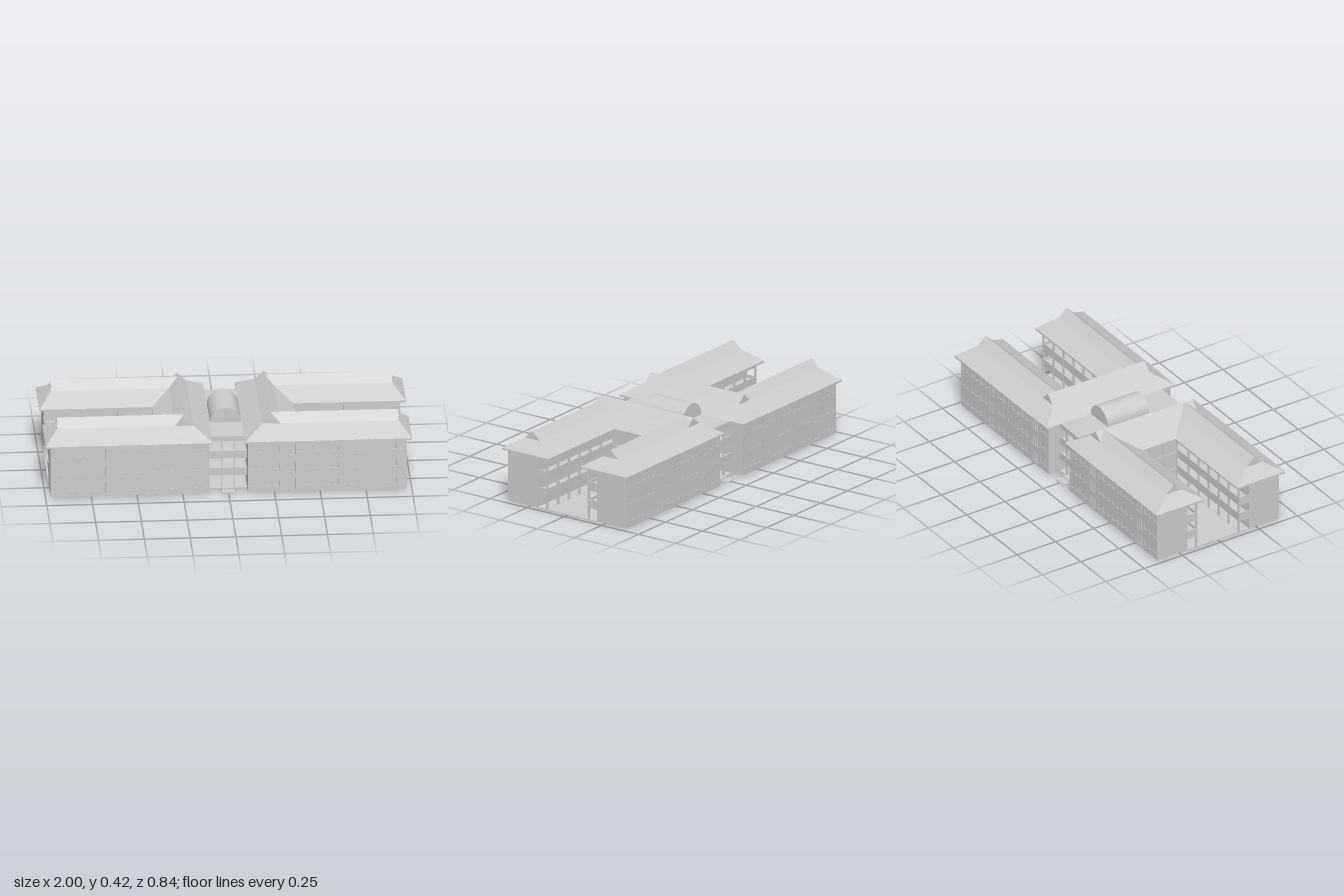
import * as THREE from 'three';

const grey = new THREE.MeshStandardMaterial({ color: 0xcccccc, flatShading: true, side: THREE.DoubleSide });

function addMesh(parent, name, geometry) {
  const mesh = new THREE.Mesh(geometry, grey);
  mesh.name = name;
  parent.add(mesh);
  return mesh;
}

// Box given by its min and max on each axis
function block(parent, name, [x0, x1], [y0, y1], [z0, z1]) {
  const g = new THREE.BoxGeometry(Math.abs(x1 - x0), y1 - y0, Math.abs(z1 - z0));
  g.translate((x0 + x1) / 2, (y0 + y1) / 2, (z0 + z1) / 2);
  return addMesh(parent, name, g);
}

function rectPath(path, x0, x1, y0, y1) {
  path.moveTo(x0, y0);
  path.lineTo(x1, y0);
  path.lineTo(x1, y1);
  path.lineTo(x0, y1);
  path.closePath();
  return path;
}

// Roof lofted from four rectangles: eave bottom, eave top, gable foot, ridge
function hipGableRoof(x0s, x1s, halfWidths) {
  const ys = [0.3, 0.31, 0.374, 0.42];
  const rings = ys.map((y, i) => {
    const w = halfWidths[i];
    return [[x0s[i], y, w], [x1s[i], y, w], [x1s[i], y, -w], [x0s[i], y, -w]];
  });
  const pos = [];
  const quad = (a, b, c, d) => pos.push(...a, ...b, ...c, ...a, ...c, ...d);
  for (let i = 0; i < 3; i++) {
    for (let k = 0; k < 4; k++) {
      const n = (k + 1) % 4;
      quad(rings[i][k], rings[i][n], rings[i + 1][n], rings[i + 1][k]);
    }
  }
  quad(rings[0][3], rings[0][2], rings[0][1], rings[0][0]);
  const g = new THREE.BufferGeometry();
  g.setAttribute('position', new THREE.Float32BufferAttribute(pos, 3));
  g.computeVertexNormals();
  return g;
}

const FLOORS = [0.005, 0.105, 0.205];
const IN = 0.105, OUT = 0.972; // wing ends along x

// Outer wall sheet with a row of windows per floor and tall stair windows
function facadeGeometry(s, tallCentres) {
  const [a, b] = s > 0 ? [IN, OUT] : [-OUT, -IN];
  const shape = rectPath(new THREE.Shape(), a, b, 0.005, 0.3);
  const count = 19, step = (b - a) / count;
  for (const y of FLOORS) {
    for (let i = 0; i < count; i++) {
      const x = a + step * (i + 0.5);
      if (tallCentres.some((t) => Math.abs(t - x) < 0.05)) continue;
      shape.holes.push(rectPath(new THREE.Path(), x - 0.014, x + 0.014, y + 0.035, y + 0.065));
    }
    for (const t of tallCentres) {
      for (const dx of [-0.02, 0, 0.02]) {
        shape.holes.push(rectPath(new THREE.Path(), t + dx - 0.006, t + dx + 0.006, y + 0.015, y + 0.078));
      }
    }
  }
  return new THREE.ExtrudeGeometry(shape, { depth: 0.004, bevelEnabled: false });
}

function buildWing(s, tallCentres) {
  const wing = new THREE.Group();
  wing.name = s > 0 ? 'leftWing' : 'rightWing';
  const X = (p, q) => [s * p, s * q];

  // Rooms: upper storeys above a hollow ground floor
  block(wing, 'upperRooms', X(IN, OUT), [0.085, 0.3], [0.2, 0.394]);
  block(wing, 'groundFrontWall', X(IN, OUT), [0.005, 0.085], [0.388, 0.394]);
  block(wing, 'groundGalleryWall', X(IN, OUT), [0.005, 0.085], [0.2, 0.206]);
  block(wing, 'groundInnerEndWall', X(IN, IN + 0.006), [0.005, 0.085], [0.206, 0.388]);
  block(wing, 'groundOuterEndWall', X(OUT - 0.006, OUT), [0.005, 0.085], [0.206, 0.388]);
  addMesh(wing, 'windowFacade', facadeGeometry(s, tallCentres)).position.z = 0.394;

  // Open gallery facing the courtyard
  block(wing, 'galleryFloor', X(IN, OUT), [0.002, 0.006], [0.135, 0.2]);
  block(wing, 'galleryCeiling', X(IN, OUT), [0.278, 0.3], [0.135, 0.2]);
  for (const y of [0.1, 0.2]) {
    block(wing, 'gallerySlab', X(IN, OUT), [y - 0.005, y + 0.005], [0.135, 0.2]);
    const band = [y - 0.028, y + 0.022];
    block(wing, 'galleryParapet', X(0.36, OUT), band, [0.135, 0.141]);
    block(wing, 'galleryEndParapet', X(OUT - 0.006, OUT), band, [0.135, 0.2]);
  }
  for (let i = 0; i < 6; i++) {
    const x = 0.47 + i * 0.099;
    block(wing, 'galleryColumn', X(x - 0.005, x + 0.005), [0.005, 0.3], [0.134, 0.144]);
  }
  for (const y of FLOORS) {
    for (let i = 0; i < 11; i++) {
      const x = 0.4 + i * 0.053;
      block(wing, 'galleryWindow', X(x - 0.016, x + 0.016), [y + 0.028, y + 0.07], [0.197, 0.2]);
    }
  }

  // Wing roof, running in under the cross roof
  const xs = [1, 1, 0.933, 0.933];
  const inner = [0.237, 0.237, 0.237, 0.237];
  const roof = addMesh(wing, 'wingRoof',
    hipGableRoof(s > 0 ? inner : xs.map((v) => -v), s > 0 ? xs : inner.map((v) => -v), [0.157, 0.157, 0.05, 0]));
  roof.position.z = 0.263;
  return wing;
}

// Front half of the building; the back half is the same turned half round
function buildHalf() {
  const half = new THREE.Group();
  half.name = 'buildingHalf';
  half.add(buildWing(1, [0.34, 0.8]), buildWing(-1, [-0.66, -0.23]));

  // Recessed entrance bay
  for (const y of [0.1, 0.2]) {
    block(half, 'entranceParapet', [-IN, IN], [y - 0.02, y + 0.023], [0.318, 0.326]);
  }
  block(half, 'entranceLintel', [-IN, IN], [0.28, 0.3], [0.31, 0.326]);
  for (const x of [-0.034, 0.034]) {
    block(half, 'entranceColumn', [x - 0.004, x + 0.004], [0.005, 0.3], [0.316, 0.326]);
  }
  block(half, 'entrancePath', [-0.035, 0.035], [0.001, 0.006], [0.32, 0.395]);
  block(half, 'entranceStep', [-0.035, 0.035], [0.006, 0.012], [0.32, 0.35]);
  return half;
}

function buildCentre() {
  const centre = new THREE.Group();
  centre.name = 'centreBlock';

  // Ground plate with two openings
  const plate = rectPath(new THREE.Shape(), -OUT, OUT, -0.135, 0.135);
  for (const x of [-0.25, 0.25]) {
    plate.holes.push(rectPath(new THREE.Path(), x - 0.1, x + 0.1, -0.09, 0.09));
  }
  const plateGeometry = new THREE.ExtrudeGeometry(plate, { depth: 0.005, bevelEnabled: false });
  addMesh(centre, 'groundPlate', plateGeometry.rotateX(-Math.PI / 2));

  // Hall floors and flat roof between the two blocks
  block(centre, 'hallFloor', [-IN, IN], [0.001, 0.005], [-0.325, 0.325]);
  for (const y of [0.1, 0.2]) block(centre, 'hallSlab', [-IN, IN], [y - 0.005, y + 0.005], [-0.32, 0.32]);
  block(centre, 'flatRoof', [-IN, IN], [0.295, 0.31], [-0.328, 0.328]);

  // Barrel skylight
  const barrel = new THREE.CylinderGeometry(0.085, 0.085, 0.27, 16, 1, false, 0, Math.PI);
  barrel.rotateZ(Math.PI / 2).rotateY(Math.PI / 2);
  addMesh(centre, 'barrelSkylight', barrel).position.y = 0.312;

  for (const s of [-1, 1]) {
    const X = (p, q) => [s * p, s * q];
    // Block: solid above, hollow shaft below
    block(centre, 'upperBlock', X(IN, 0.36), [0.1, 0.3], [-0.135, 0.135]);
    block(centre, 'shaftInnerWall', X(IN, 0.15), [0.005, 0.1], [-0.135, 0.135]);
    block(centre, 'shaftOuterWall', X(0.35, 0.36), [0.005, 0.1], [-0.135, 0.135]);
    for (const z of [-1, 1]) {
      block(centre, 'shaftSideWall', X(0.15, 0.35), [0.005, 0.1], [z * 0.09, z * 0.135]);
    }
    // Courtyard wall grid
    for (const y of [0.1, 0.204]) {
      block(centre, 'courtyardBand', X(0.36, 0.366), [y - 0.005, y + 0.005], [-0.135, 0.135]);
    }
    for (const z of [-0.132, -0.045, 0.045, 0.132]) {
      block(centre, 'courtyardPier', X(0.36, 0.366), [0.005, 0.3], [z - 0.003, z + 0.003]);
    }
    // Cross roof with its gables to front and back
    const ends = [0.418, 0.418, 0.315, 0.315];
    const roof = addMesh(centre, 'crossRoof', hipGableRoof(ends.map((v) => -v), ends, [0.15, 0.15, 0.05, 0]));
    roof.rotation.y = Math.PI / 2;
    roof.position.x = s * 0.237;
  }
  return centre;
}

export function createModel() {
  const model = new THREE.Group();
  model.name = 'courtyardBuilding';
  const front = buildHalf();
  front.name = 'frontHalf';
  const back = front.clone();
  back.name = 'backHalf';
  back.rotation.y = Math.PI;
  model.add(front, back, buildCentre());
  return model;
}
